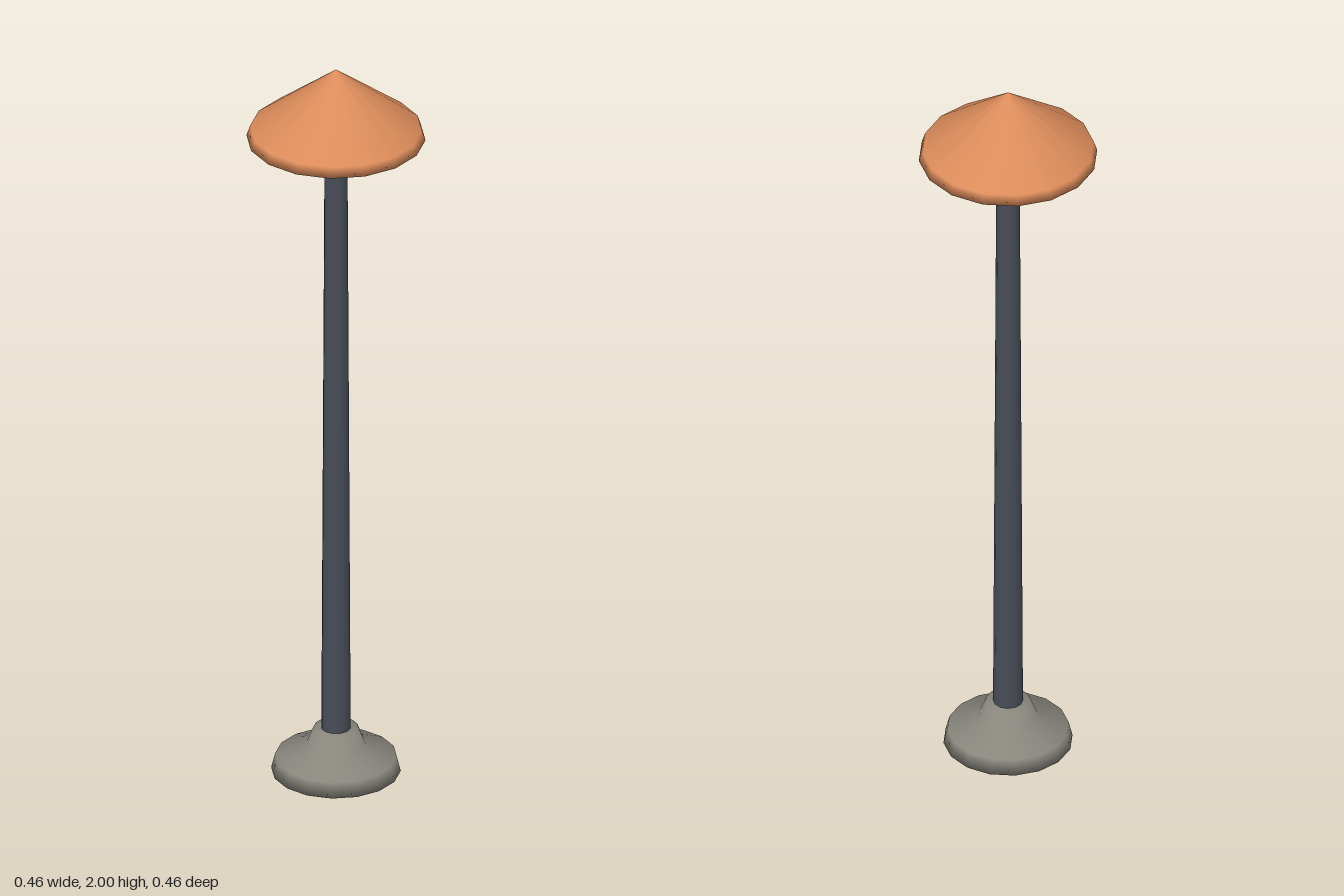
import * as THREE from 'three';

const paint = (name, color) => {
  const material = new THREE.MeshStandardMaterial({ color });
  material.name = name;
  return material;
};

export function createModel() {
  const group = new THREE.Group();
  group.name = 'gardenLamp';

  // Turned part from [radius, height] pairs, listed bottom to top
  const turn = (name, profile, sides, material) => {
    const points = profile.map(([r, y]) => new THREE.Vector2(r, y));
    const mesh = new THREE.Mesh(new THREE.LatheGeometry(points, sides), material);
    mesh.name = name;
    group.add(mesh);
  };

  // Flared stone foot
  turn('base', [[0, 0], [0.165, 0], [0.155, 0.04], [0.075, 0.075], [0.057, 0.12], [0, 0.12]],
    16, paint('stoneGrey', 0x87857c));

  // Tapered post
  turn('post', [[0.038, 0.12], [0.03, 1.715]], 12, paint('darkSlate', 0x484d58));

  // Faceted bulb on top of the post
  turn('bulb', [[0, 1.712], [0.03, 1.712], [0.057, 1.735], [0.057, 1.773], [0, 1.805]],
    12, paint('warmCream', 0xdcc094));

  // Conical shade with a short lip and a flat underside
  turn('shade', [[0, 1.805], [0.228, 1.805], [0.219, 1.832], [0, 2]],
    16, paint('copperOrange', 0xdb8b5a));

  return group;
}
